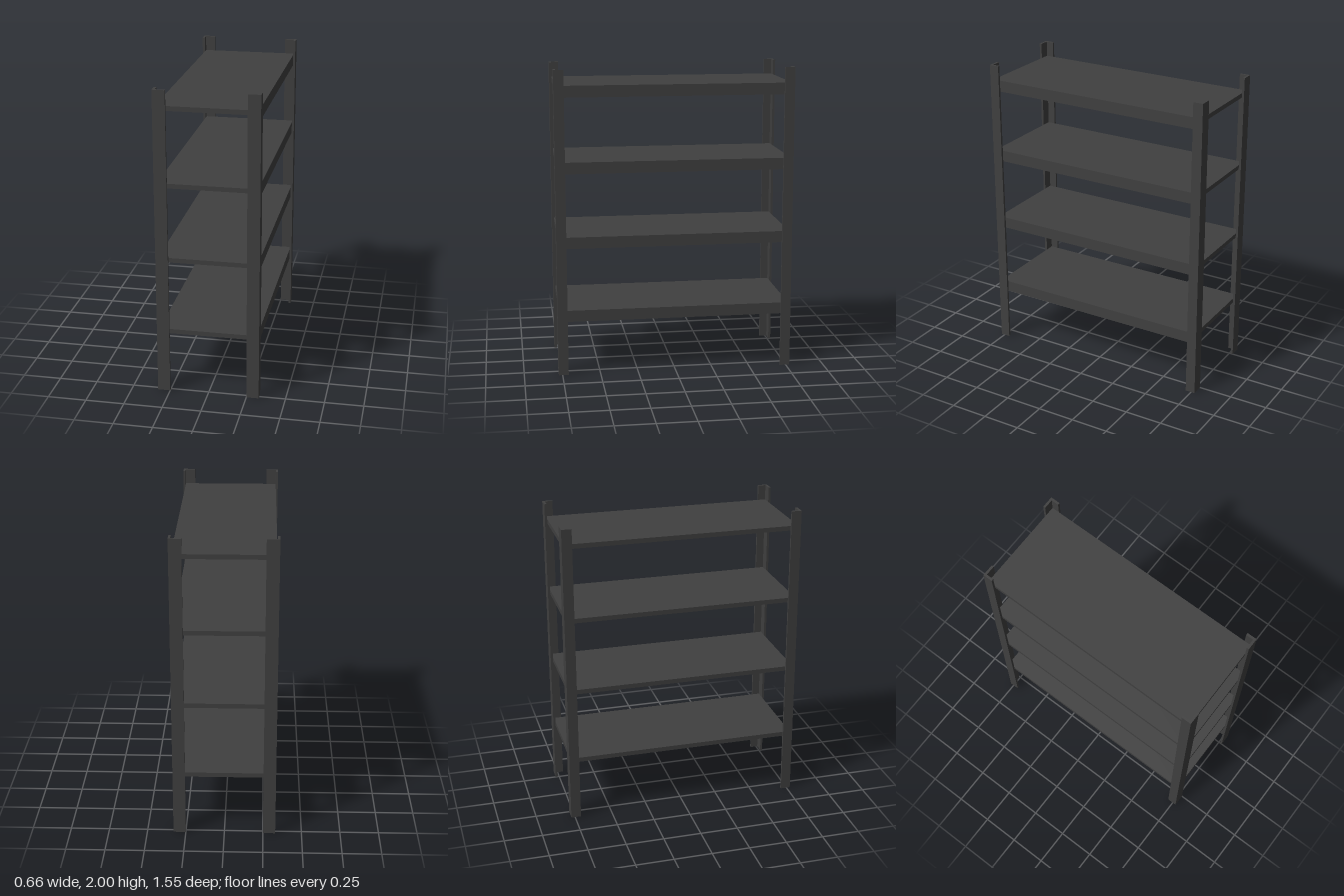
import * as THREE from 'three';

const H = 2, X = 0.33, Z = 0.775;      // outer size of the rack
const T = 0.015;                       // sheet thickness
const LEG_X = 0.08, LEG_Z = 0.065;     // flange widths of the angle uprights

export function createModel() {
  const rack = new THREE.Group();
  rack.name = 'shelvingRack';
  const steel = new THREE.MeshStandardMaterial({ color: 0x404040 });

  // L-section upright, mirrored into each corner
  function upright(sx, sz) {
    const pts = [[X, Z], [X - LEG_X, Z], [X - LEG_X, Z - T], [X - T, Z - T], [X - T, Z - LEG_Z], [X, Z - LEG_Z]];
    const section = new THREE.Shape(pts.map(([x, z]) => new THREE.Vector2(x * sx, -z * sz)));
    const geo = new THREE.ExtrudeGeometry(section, { depth: H, bevelEnabled: false });
    geo.rotateX(-Math.PI / 2);
    const mesh = new THREE.Mesh(geo, steel);
    mesh.name = 'upright';
    rack.add(mesh);
  }
  for (const sx of [-1, 1]) for (const sz of [-1, 1]) upright(sx, sz);

  function box(parent, name, w, h, d, x, y) {
    const mesh = new THREE.Mesh(new THREE.BoxGeometry(w, h, d), steel);
    mesh.name = name;
    mesh.position.set(x, y, 0);
    parent.add(mesh);
  }

  // Shelves: a flat board with a deeper lip along the left long edge
  const w = 2 * (X - T), d = 2 * (Z - T), board = 0.03, lip = 0.075;
  for (let i = 0; i < 4; i++) {
    const shelf = new THREE.Group();
    shelf.name = 'shelf';
    shelf.position.y = 0.433 + i * 0.489;
    box(shelf, 'shelfBoard', w, board, d, 0, -board / 2);
    box(shelf, 'shelfLip', T, lip - board, d, w / 2 - T / 2, -(lip + board) / 2);
    rack.add(shelf);
  }
  return rack;
}
